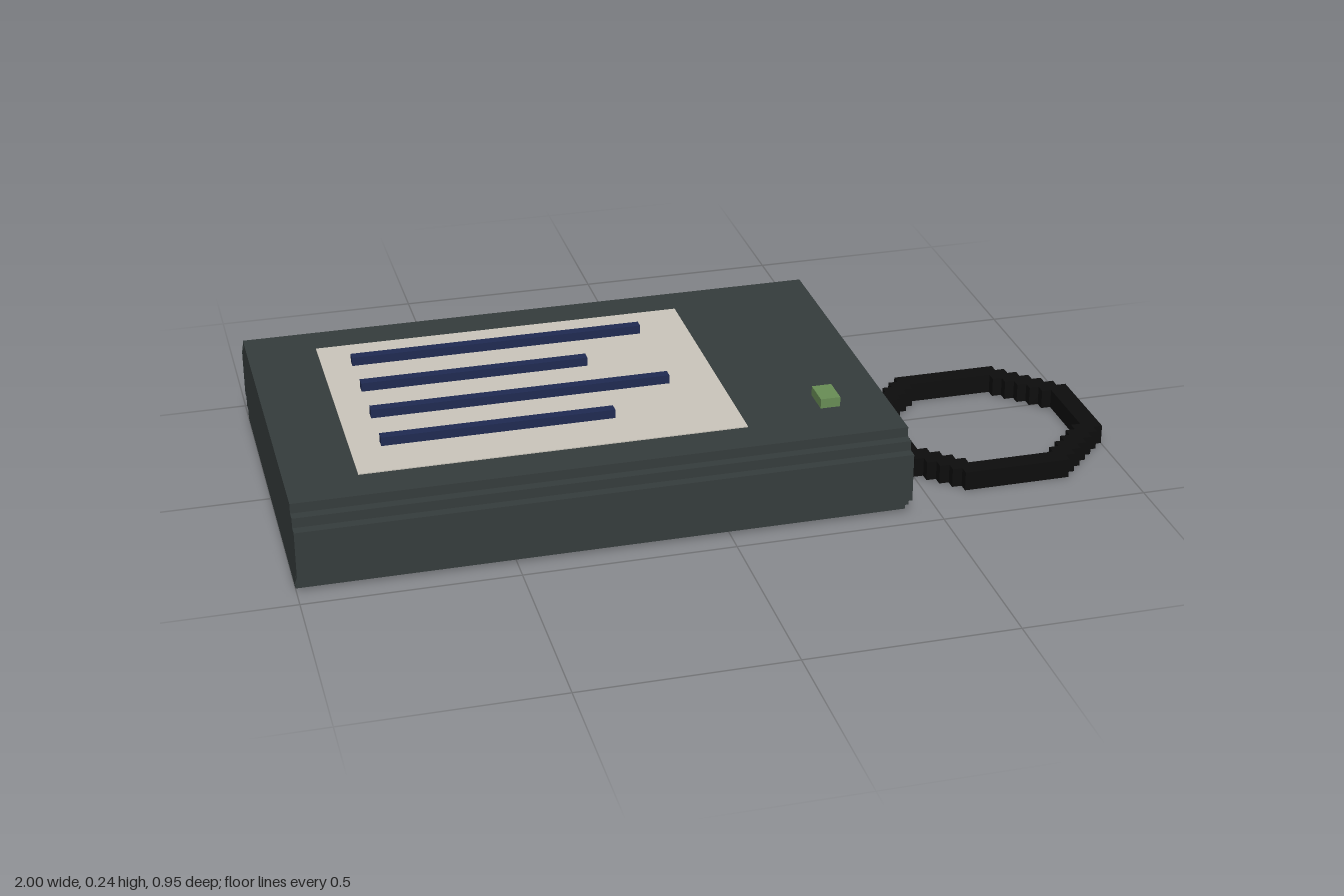
import * as THREE from 'three';

const U = 2 / 84; // one grid cell

const mat = (name, color) => {
  const m = new THREE.MeshStandardMaterial({ color });
  m.name = name;
  return m;
};

export function createModel() {
  const casing = mat('casing grey', 0x353c3c);
  const paper = mat('label paper', 0xcac5bb);
  const ink = mat('ink blue', 0x1f2a52);
  const lamp = mat('lamp green', 0x688d55);
  const metal = mat('port metal', 0x989ba1);
  const cord = mat('cord black', 0x0d0d0d);

  const model = new THREE.Group();
  model.name = 'portableDrive';

  // Box between two corners given in grid cells
  const box = (name, material, [x0, y0, z0], [x1, y1, z1], parent = model) => {
    const mesh = new THREE.Mesh(
      new THREE.BoxGeometry((x1 - x0) * U, (y1 - y0) * U, (z1 - z0) * U), material);
    mesh.position.set((x0 + x1) / 2, (y0 + y1) / 2, (z0 + z1) / 2).multiplyScalar(U);
    mesh.name = name;
    parent.add(mesh);
    return mesh;
  };

  // Casing: stepped cross-section swept along x
  const half = [[18, 0], [18, 1], [19, 1], [19, 2], [20, 2], [20, 7], [19, 7], [19, 8], [18, 8], [18, 9]];
  const outline = [...half, ...half.map(([z, y]) => [-z, y]).reverse()];
  const profile = new THREE.Shape(outline.map(([z, y]) => new THREE.Vector2(z * U, y * U)));
  const bodyGeo = new THREE.ExtrudeGeometry(profile, { depth: 60 * U, bevelEnabled: false });
  bodyGeo.rotateY(Math.PI / 2).translate(-42 * U, 0, 0);
  const body = new THREE.Mesh(bodyGeo, casing);
  body.name = 'casing';
  model.add(body);

  // Label plate with raised lines: [z start, x end]
  box('label', paper, [-35, 8.9, -14], [3, 9.1, 14]);
  for (const [z, xEnd] of [[-10, -2], [-4, -9], [2, -2], [8, -9]])
    box('labelLine', ink, [-32, 9, z], [xEnd, 10, z + 1]);

  // Status lamp and end port
  box('statusLamp', lamp, [11, 9, 9], [13, 10, 12]);
  box('port', metal, [18, 2, -3], [19, 6, 3]);

  // Cord: plug stub, straight sides and stair-stepped corners of the loop
  const loop = new THREE.Group();
  loop.name = 'cordLoop';
  model.add(loop);
  box('cordStub', cord, [19, 0, -1], [20, 2, 1], loop);
  box('cordStubTop', cord, [19, 2, -1], [20, 3, 0], loop);

  const corners = [[25, -6], [34, -6], [40, 0], [40, 8], [34, 14], [25, 14], [20, 9], [20, -1]];
  corners.forEach(([ax, az], i) => {
    const [bx, bz] = corners[(i + 1) % corners.length];
    if (ax === bx || az === bz) {
      box('cordSide', cord, [Math.min(ax, bx), 0, Math.min(az, bz)],
        [Math.max(ax, bx) + 2, 2, Math.max(az, bz) + 2], loop);
      return;
    }
    const sx = Math.sign(bx - ax), sz = Math.sign(bz - az);
    for (let k = 1; k < Math.abs(bx - ax); k++) {
      const x = ax + sx * k, z = az + sz * k;
      box('cordStep', cord, [x, 0, z], [x + 2, 2, z + 2], loop);
    }
  });

  return model;
}
